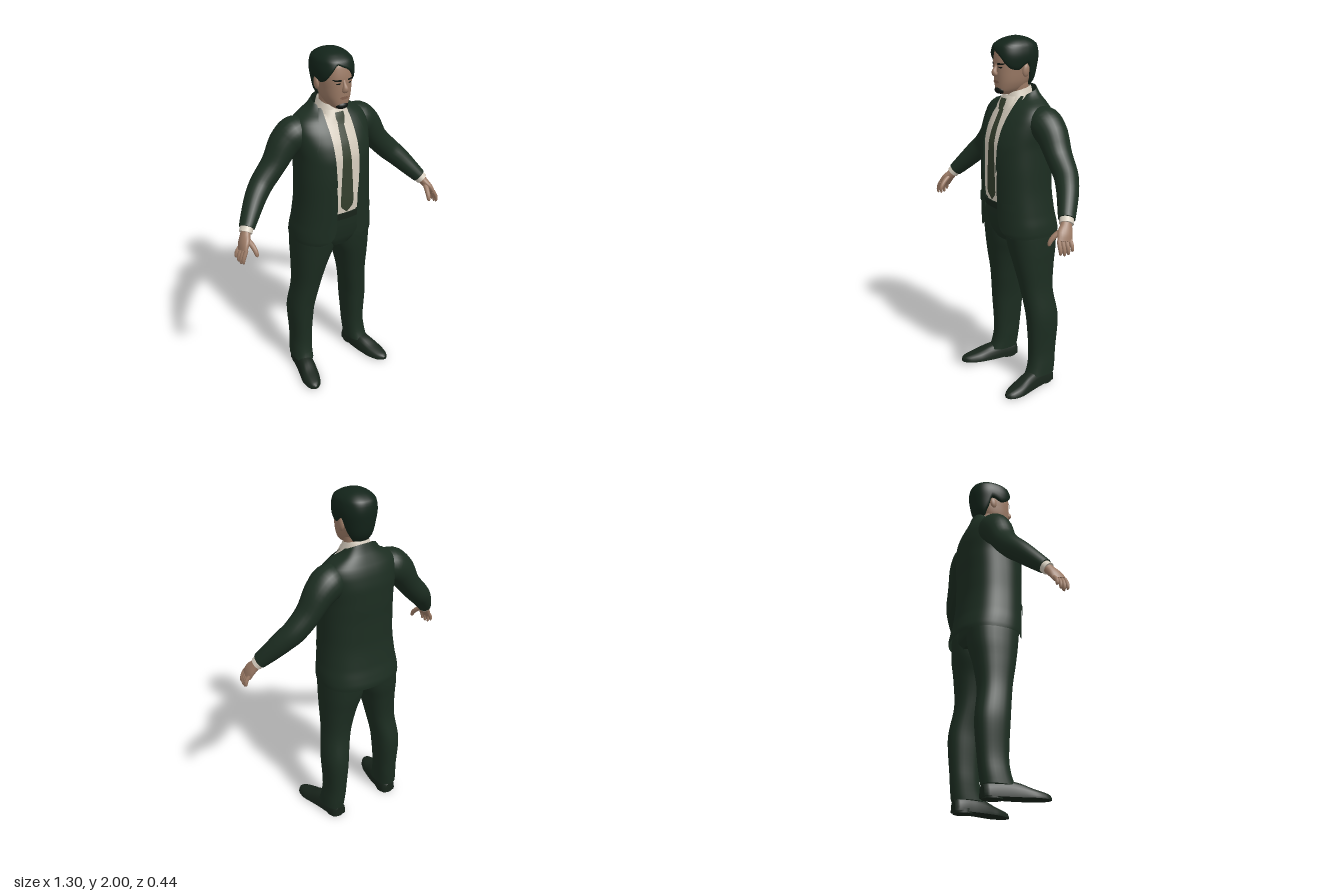
import * as THREE from 'three';

const mat = (name, color, side = THREE.FrontSide) =>
  Object.assign(new THREE.MeshStandardMaterial({ color, side }), { name });

const spow = (v, p) => Math.sign(v) * Math.abs(v) ** p;
const N = 2.4; // roundness of the body cross-sections

// Smooth row lookup: each row is [key, ...values], values are eased between keys
function at(rows, k) {
  const last = rows.length - 1;
  k = Math.min(Math.max(k, rows[0][0]), rows[last][0]);
  let i = 0;
  while (i < last - 1 && k > rows[i + 1][0]) i++;
  const sec = (j, c) => (rows[j + 1][c] - rows[j][c]) / (rows[j + 1][0] - rows[j][0]);
  const slope = (j, c) => {
    if (j === 0) return sec(0, c);
    if (j === last) return sec(last - 1, c);
    const a = sec(j - 1, c), b = sec(j, c);
    return a * b <= 0 ? 0 : (2 * a * b) / (a + b);
  };
  const h = rows[i + 1][0] - rows[i][0], t = (k - rows[i][0]) / h;
  return rows[i].map((v, c) => c === 0 ? k :
    v * (1 + 2 * t) * (1 - t) ** 2 + slope(i, c) * h * t * (1 - t) ** 2 +
    rows[i + 1][c] * t * t * (3 - 2 * t) + slope(i + 1, c) * h * t * t * (t - 1));
}
const span = (a, b, n) => Array.from({ length: n + 1 }, (_, i) => a + (b - a) * i / n);
const sample = (rows, n) => span(rows[0][0], rows[rows.length - 1][0], n).map(k => at(rows, k));

// Skin over rings of points; closed rings are wrapped, capped and turned outward
function loft(rings, closed = true) {
  const n = rings[0].length, pts = rings.flat(), idx = [];
  for (let i = 0; i < rings.length - 1; i++)
    for (let j = 0; j < (closed ? n : n - 1); j++) {
      const a = i * n + j, b = i * n + (j + 1) % n;
      idx.push(a, b, a + n, b, b + n, a + n);
    }
  if (closed) for (const [r, flip] of [[0, true], [rings.length - 1, false]]) {
    const c = new THREE.Vector3(), base = pts.length;
    rings[r].forEach(p => c.addScaledVector(p, 1 / n));
    pts.push(c, ...rings[r]);
    for (let j = 0; j < n; j++) {
      const a = base + 1 + j, b = base + 1 + (j + 1) % n;
      idx.push(...(flip ? [base, b, a] : [base, a, b]));
    }
  }
  let vol = 0;
  for (let i = 0; i < idx.length; i += 3)
    vol += pts[idx[i]].dot(pts[idx[i + 1]].clone().cross(pts[idx[i + 2]]));
  if (closed && vol < 0) idx.reverse();
  const g = new THREE.BufferGeometry().setFromPoints(pts);
  g.setIndex(idx);
  g.computeVertexNormals();
  return g;
}

// Point on a horizontal section [y, halfWidth, zFront, zBack]; angle 0 is the front
const onRing = ([y, w, zf, zb], a) => new THREE.Vector3(w * spow(Math.sin(a), 2 / N), y,
  (zf + zb) / 2 + (zf - zb) / 2 * spow(Math.cos(a), 2 / N));
const stack = (rows, n = 20, seg = 40) => loft(sample(rows, n).map(r =>
  span(0, Math.PI * 2, seg).slice(0, -1).map(a => onRing(r, a))));

// Limb along rows [x, y, z, radius, radius along ref]
function sweep(rows, ref, n = 12, seg = 16) {
  const s = sample(rows.map((r, i) => [i, ...r]), n);
  const pos = s.map(r => new THREE.Vector3(r[1], r[2], r[3]));
  return loft(s.map((r, i) => {
    const t = pos[Math.min(i + 1, n)].clone().sub(pos[Math.max(i - 1, 0)]).normalize();
    const v = ref.clone().addScaledVector(t, -ref.dot(t)).normalize(), u = v.clone().cross(t);
    return span(0, Math.PI * 2, seg).slice(0, -1).map(a => pos[i].clone()
      .addScaledVector(u, r[4] * Math.cos(a)).addScaledVector(v, r[5] * Math.sin(a)));
  }));
}

// Thin strip lying on the front of a stacked form; rows are [y, x0, x1]
const patch = (rows, form, off, n = 16) => loft(sample(rows, n).map(([y, x0, x1]) => {
  const [, w, zf, zb] = at(form, y);
  return span(x0, x1, 8).map(x => new THREE.Vector3(x, y, off + (zf + zb) / 2 +
    (zf - zb) / 2 * Math.max(0, 1 - Math.abs(x / w) ** N) ** (1 / N)));
}), false);

function mirrored(geo) {
  const g = geo.clone().scale(-1, 1, 1);
  g.setIndex([...g.index.array].reverse());
  g.computeVertexNormals();
  return g;
}

// Section tables: [y, halfWidth, zFront, zBack, (half opening)]
const JACKET = [[.925, .236, .15, -.22, .15], [.94, .237, .155, -.222, .11], [.98, .235, .156, -.215, .075],
  [1.05, .225, .158, -.2, .063], [1.2, .212, .163, -.185, .063], [1.3, .21, .165, -.185, .07],
  [1.42, .208, .16, -.19, .075], [1.5, .215, .14, -.19, .077], [1.57, .22, .105, -.18, .077],
  [1.62, .205, .07, -.165, .077], [1.65, .17, .045, -.15, .077], [1.68, .115, .02, -.13, .075], [1.71, .085, -.005, -.115, .07]];
const SHIRT = [[1.08, .18, .135, -.14], [1.2, .185, .145, -.15], [1.42, .185, .142, -.16], [1.5, .18, .125, -.16],
  [1.57, .165, .095, -.15], [1.62, .13, .072, -.13], [1.66, .088, .058, -.11], [1.69, .072, .045, -.095]];
const HIPS = [[.88, .12, .09, -.15], [.93, .2, .112, -.175], [1.02, .2, .13, -.17], [1.115, .19, .138, -.155]];
const LEG = [[.07, .06, .045, -.135, .197], [.12, .06, .025, -.142, .194], [.2, .059, .015, -.15, .188],
  [.4, .07, .025, -.165, .185], [.6, .078, .05, -.14, .158], [.75, .096, .08, -.155, .138],
  [.86, .116, .1, -.175, .118], [.95, .12, .11, -.18, .11], [1.05, .1, .105, -.16, .1]];
const HEAD = [[1.7, .026, .09, .03], [1.715, .046, .108, -.02], [1.74, .062, .112, -.06], [1.77, .073, .114, -.08],
  [1.81, .08, .116, -.1], [1.86, .085, .117, -.115], [1.92, .085, .108, -.12], [1.96, .07, .08, -.1], [1.985, .03, .03, -.05]];
const HAIR = [[1.74, .066, .06, -.09], [1.78, .082, .1, -.113], [1.84, .096, .122, -.125], [1.9, .104, .126, -.132],
  [1.95, .096, .115, -.125], [1.98, .07, .075, -.09], [1.995, .035, .03, -.05], [2, .012, .005, -.02]];
// Lower hair edge by angle in degrees: [angle, y]
const HAIRLINE = [[-180, 1.74], [-135, 1.74], [-112, 1.79], [-98, 1.865], [-75, 1.845], [-55, 1.86], [-35, 1.9],
  [-15, 1.94], [0, 1.925], [20, 1.9], [40, 1.86], [60, 1.835], [78, 1.83], [98, 1.865], [112, 1.79], [135, 1.74], [180, 1.74]];

export function createModel() {
  const model = new THREE.Group();
  model.name = 'suitedMan';
  const suit = mat('dark green suit', 0x1c2d21, THREE.DoubleSide);
  const dark = mat('dark green hair', 0x13241a);
  const shoeMat = mat('dark shoe leather', 0x18241b);
  const black = mat('black beard', 0x0d130f, THREE.DoubleSide);
  const skin = mat('skin', 0x9c7b66);
  const lipMat = mat('lips', 0x84614f, THREE.DoubleSide);
  const white = mat('off white shirt', 0xd6cdbe, THREE.DoubleSide);
  const olive = mat('olive tie', 0x343f2d, THREE.DoubleSide);
  const X = new THREE.Vector3(1, 0, 0), Z = new THREE.Vector3(0, 0, 1);

  const add = (name, geo, m) => {
    const mesh = new THREE.Mesh(geo, m);
    mesh.name = name;
    model.add(mesh);
  };
  const pair = (name, geo, m) => {
    add(name + 'Left', geo, m);
    add(name + 'Right', mirrored(geo), m);
  };

  // Open jacket, running round the back from one front edge to the other
  add('jacket', loft(sample(JACKET, 60).map(r => {
    const a0 = Math.asin((r[4] / r[1]) ** (N / 2));
    return span(a0, Math.PI * 2 - a0, 60).map(a => {
      const p = onRing(r, a);
      p.y -= Math.max(0, r[0] - 1.64) * .4 * Math.cos(a);
      return p;
    });
  }), false), suit);
  pair('lapel', patch([[1.29, .068, .072], [1.4, .073, .118], [1.5, .075, .16], [1.52, .075, .15],
    [1.62, .076, .12], [1.69, .07, .085]], JACKET, .008, 28), suit);
  pair('pocketFlap', patch([[1.085, .11, .18], [1.125, .108, .18]], JACKET, .007, 4), suit);
  add('breastPocket', patch([[1.45, .12, .17], [1.47, .12, .17]], JACKET, .006, 3), suit);

  // Shirt, collar, tie and belt
  add('shirt', stack(SHIRT, 30), white);
  const collar = [[1.64, .088, .066, -.1], [1.7, .07, .05, -.092], [1.715, .066, .045, -.085]];
  add('collar', loft(sample(collar, 6).map(r => span(.25, Math.PI * 2 - .25, 36).map(a => {
    const p = onRing(r, a);
    p.y += .012 - .018 * Math.cos(a);
    return p;
  })), false), white);
  pair('collarWing', patch([[1.605, .044, .048], [1.65, .022, .066], [1.688, .012, .062]], SHIRT, .014, 8), white);
  add('tie', patch([[1.12, -.002, .002], [1.165, -.04, .04], [1.4, -.029, .029], [1.62, -.018, .018]], SHIRT, .01, 30), olive);
  add('tieKnot', patch([[1.615, -.017, .017], [1.65, -.027, .027], [1.675, -.025, .025]], SHIRT, .018, 6), olive);
  add('trouserHips', stack(HIPS), suit);
  add('belt', stack([[1.07, .19, .142, -.15], [1.108, .188, .145, -.15]], 2), shoeMat);

  // Trouser legs, shoes and heels
  pair('trouserLeg', loft(sample(LEG, 36).map(r => span(0, Math.PI * 2, 28).slice(0, -1).map(a => {
    const p = onRing(r, a);
    p.x += r[4];
    return p;
  }))), suit);
  const shoe = [[-.13, .19, .032, .07], [-.115, .19, .046, .085], [-.02, .2, .052, .1], [.05, .213, .056, .088],
    [.12, .23, .058, .062], [.18, .242, .046, .046], [.21, .247, .028, .036], [.222, .249, .01, .026]];
  pair('shoe', loft(sample(shoe, 28).map(([z, cx, w, h]) => span(0, Math.PI * 2, 24).slice(0, -1).map(a =>
    new THREE.Vector3(cx + w * spow(Math.cos(a), .75), Math.max(.008, h * spow(Math.sin(a), .8)), z)))), shoeMat);
  const heel = new THREE.CylinderGeometry(.049, .05, .025, 24);
  pair('heel', heel.scale(1, 1, 1.1).translate(.191, .0125, -.074), shoeMat);

  // Sleeves and cuffs
  pair('sleeve', sweep([[.12, 1.575, -.055, .07, .07], [.2, 1.55, -.06, .096, .095], [.255, 1.51, -.065, .086, .088],
    [.33, 1.405, -.06, .066, .074], [.4, 1.33, -.05, .064, .066], [.46, 1.27, -.02, .059, .06],
    [.52, 1.2, .025, .049, .052], [.562, 1.15, .06, .04, .045]], Z, 30, 24), suit);
  pair('cuff', sweep([[.55, 1.164, .05, .034, .037], [.576, 1.13, .072, .034, .038]], Z, 2, 24), white);

  // Hands
  pair('palm', sweep([[.565, 1.15, .062, .024, .028], [.582, 1.12, .078, .024, .033], [.603, 1.087, .1, .021, .043],
    [.618, 1.056, .112, .015, .043]], Z, 12, 20), skin);
  for (let i = 0; i < 4; i++) {
    const z = .144 - i * .022, len = [.9, 1, .96, .78][i], out = i * .003;
    pair('finger' + (i + 1), sweep([[.612, 1.068, z, .011, .011], [.627 + out, 1.068 - .034 * len, z + .005, .011, .011],
      [.634 + out, 1.068 - .06 * len, z + .005, .0095, .0095], [.633 + out, 1.068 - .074 * len, z + .004, .007, .007],
      [.632 + out, 1.068 - .08 * len, z + .003, .002, .002]], Z, 10, 10), skin);
  }
  pair('thumb', sweep([[.585, 1.11, .095, .014, .016], [.57, 1.078, .14, .014, .014], [.564, 1.05, .162, .012, .012],
    [.563, 1.032, .168, .008, .008], [.563, 1.027, .169, .002, .002]], X, 12, 12), skin);

  // Neck, head and face
  add('neck', sweep([[0, 1.62, -.035, .06, .062], [0, 1.7, -.022, .06, .062], [0, 1.79, -.01, .065, .065]], X, 8, 28), skin);
  add('head', stack(HEAD, 36), skin);
  add('nose', sweep([[0, 1.862, .11, .006, .008], [0, 1.84, .117, .01, .009], [0, 1.818, .126, .016, .015],
    [0, 1.806, .122, .014, .018], [0, 1.798, .112, .005, .008]], X, 14, 14), skin);
  pair('ear', new THREE.SphereGeometry(1, 16, 12).scale(.012, .034, .021).rotateX(-.15).translate(.086, 1.825, -.016), skin);
  pair('eyebrow', patch([[1.857, .017, .05], [1.866, .02, .062]], HEAD, .005, 3), black);
  pair('eye', patch([[1.84, .028, .042], [1.847, .022, .048]], HEAD, .003, 3), black);
  add('lips', patch([[1.758, -.012, .012], [1.766, -.026, .026], [1.774, -.014, .014]], HEAD, .005, 6), lipMat);
  add('goatee', new THREE.SphereGeometry(1, 20, 14).scale(.036, .021, .026).translate(0, 1.721, .092), black);

  // Hair with a fringe swept to one side and a folded-in lower edge
  const angles = span(-180, 180, 72).slice(0, -1);
  const hairRing = (t, k) => angles.map(d => {
    const b = at(HAIRLINE, d)[1];
    const p = onRing(at(HAIR, b + (2 - b) * Math.sin(t * Math.PI / 2)), d * Math.PI / 180);
    return new THREE.Vector3(p.x * k - .003, p.y, p.z * k);
  });
  add('hair', loft([hairRing(0, .86), hairRing(0, .97), ...span(.06, 1, 18).map(t => hairRing(t, 1))]), dark);
  return model;
}
